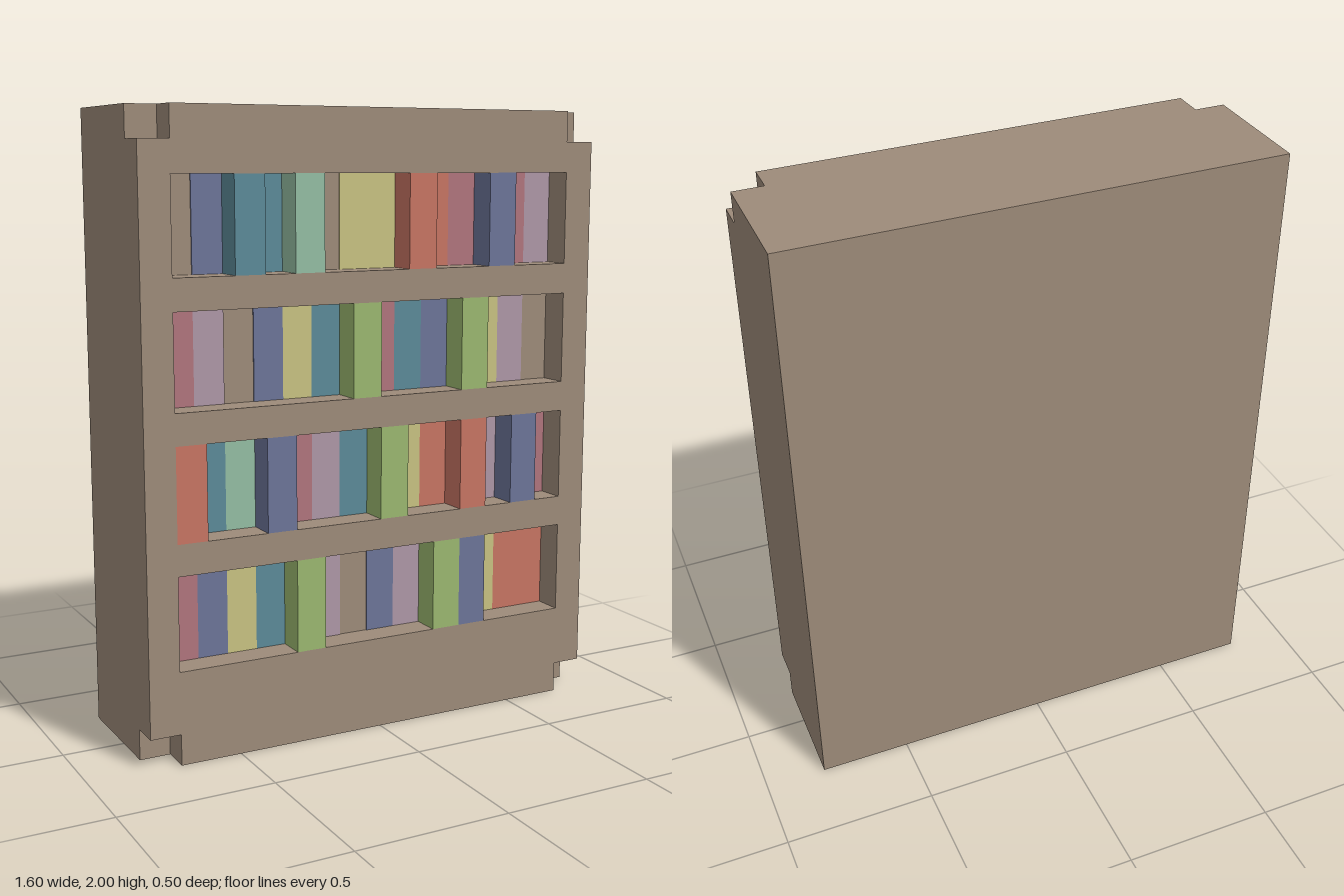
import * as THREE from 'three';

const paint = (name, color) => {
  const m = new THREE.MeshStandardMaterial({ color });
  m.name = name;
  return m;
};

export function createModel() {
  const group = new THREE.Group();
  group.name = 'bookshelf';

  const wood = paint('wood brown', 0x9d8b7a);
  const covers = {
    b: paint('book blue', 0x6c7599),
    t: paint('book teal', 0x5c8a98),
    m: paint('book mint', 0x94bda3),
    y: paint('book yellow', 0xc8c282),
    r: paint('book red', 0xc77563),
    o: paint('book rose', 0xb0757d),
    v: paint('book mauve', 0xae97a7),
    g: paint('book green', 0x9bb870),
  };

  const U = 0.1; // one block
  const innerZ = 0.15; // back of the recesses
  const rowBottoms = [1.5, 1.1, 0.7, 0.3];
  const rowHeight = 0.3;

  const add = (name, geometry, material, x, y, z, parent = group) => {
    const mesh = new THREE.Mesh(geometry, material);
    mesh.name = name;
    mesh.position.set(x, y, z);
    parent.add(mesh);
    return mesh;
  };

  // Solid cabinet behind the shelves
  add('cabinet', new THREE.BoxGeometry(1.6, 2, 0.4), wood, 0, 1, -0.05);

  // Front frame with notched corners and four shelf openings
  const outline = [
    [-0.7, 0], [0.7, 0], [0.7, 0.1], [0.8, 0.1], [0.8, 1.9], [0.7, 1.9],
    [0.7, 2], [-0.7, 2], [-0.7, 1.9], [-0.8, 1.9], [-0.8, 0.1], [-0.7, 0.1],
  ];
  const frame = new THREE.Shape(outline.map(([x, y]) => new THREE.Vector2(x, y)));
  for (const y of rowBottoms) {
    const top = y + rowHeight;
    frame.holes.push(new THREE.Path(
      [[-0.7, y], [-0.7, top], [0.7, top], [0.7, y]].map(([px, py]) => new THREE.Vector2(px, py)),
    ));
  }
  add('frontFrame', new THREE.ExtrudeGeometry(frame, { depth: U, bevelEnabled: false }), wood, 0, 0, innerZ);

  // Books: one letter per slot, capitals stand forward, dots are bare wood
  const rows = [
    '.bTtM.yyRroBov',
    'ov.bytGotbGyv.',
    'RtmBovtGyrRvBo',
    'obytGv.bvGByrr',
  ];
  const thin = 0.004;
  const forwardBook = new THREE.BoxGeometry(U, rowHeight, U);
  const recessedBook = new THREE.BoxGeometry(U, rowHeight, thin);
  rows.forEach((row, i) => {
    const shelf = new THREE.Group();
    shelf.name = `bookRow${i + 1}`;
    group.add(shelf);
    [...row].forEach((code, slot) => {
      if (code === '.') return;
      const forward = code !== code.toLowerCase();
      const depth = forward ? U : thin;
      add(
        forward ? 'forwardBook' : 'recessedBook',
        forward ? forwardBook : recessedBook,
        covers[code.toLowerCase()],
        -0.65 + slot * U, rowBottoms[i] + rowHeight / 2, innerZ + depth / 2, shelf,
      );
    });
  });

  return group;
}
